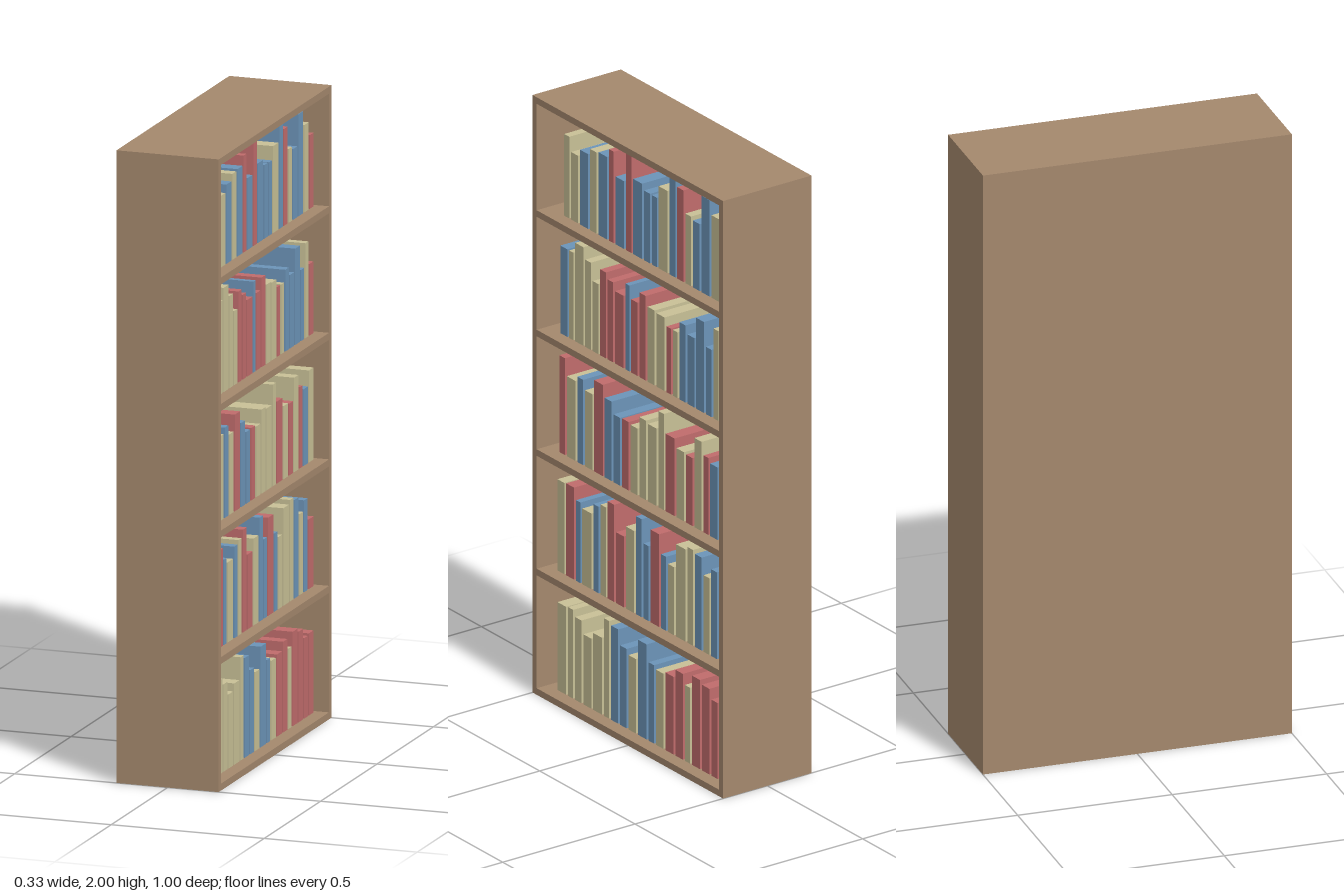
import * as THREE from 'three';

const mat = (name, color) => {
  const m = new THREE.MeshStandardMaterial({ color });
  m.name = name;
  return m;
};

// Small seeded generator, 0 to 1
const seeded = (seed) => () => {
  seed = (seed * 16807) % 2147483647;
  return seed / 2147483647;
};

// Shelves from bottom to top: cover colours and z of the first book, running towards -z
const shelves = [
  { covers: 'ccccccbbcbbcrrcrrrr', first: 0.44 },
  { covers: 'crbcbcrrcbbrbcccbcbr', first: 0.44 },
  { covers: 'rcbcrbbrccccrcrcrbc', first: 0.43 },
  { covers: 'bccccrrrbrrccrcbbbbcr', first: 0.425 },
  { covers: 'ccbcbrbrbbbcbrcbbcr', first: 0.405 },
];

export function createModel() {
  const group = new THREE.Group();
  group.name = 'bookcase';
  const wood = mat('wood', 0xa4886d);
  const colours = {
    r: mat('red cover', 0xc06c6c),
    b: mat('blue cover', 0x6c94b8),
    c: mat('cream cover', 0xc8c096),
  };

  // Box given by its lower and upper corners
  const box = (name, material, [x0, y0, z0], [x1, y1, z1], parent = group) => {
    const mesh = new THREE.Mesh(new THREE.BoxGeometry(x1 - x0, y1 - y0, z1 - z0), material);
    mesh.position.set((x0 + x1) / 2, (y0 + y1) / 2, (z0 + z1) / 2);
    mesh.name = name;
    parent.add(mesh);
  };

  // Carcass, open towards +x
  const X = 0.167, Z = 0.5, T = 0.022;
  box('frontSide', wood, [-X, 0, Z - T], [X, 2, Z]);
  box('rearSide', wood, [-X, 0, -Z], [X, 2, T - Z]);
  box('backPanel', wood, [-X, 0, T - Z], [T - X, 2, Z - T]);
  box('topBoard', wood, [T - X, 2 - T, T - Z], [X, 2, Z - T]);

  // Shelf boards, each with a row of books of uneven thickness and height
  const random = seeded(4711);
  const last = -0.46, gap = 0.01;
  shelves.forEach(({ covers, first }, row) => {
    const floor = T + row * 0.4;
    box('shelf', wood, [T - X, floor - T, T - Z], [X, floor, Z - T]);
    const books = new THREE.Group();
    books.name = `bookRow${row + 1}`;
    group.add(books);

    const pitch = (first - last) / covers.length;
    let z = first;
    [...covers].forEach((cover, i) => {
      const isLast = i === covers.length - 1;
      const end = isLast ? last : first - (i + 1) * pitch + (random() - 0.5) * 0.018;
      const height = 0.22 + 0.11 * random();
      box('book', colours[cover], [-0.12, floor, end], [0.123, floor + height, z - gap], books);
      z = end;
    });
  });
  return group;
}
